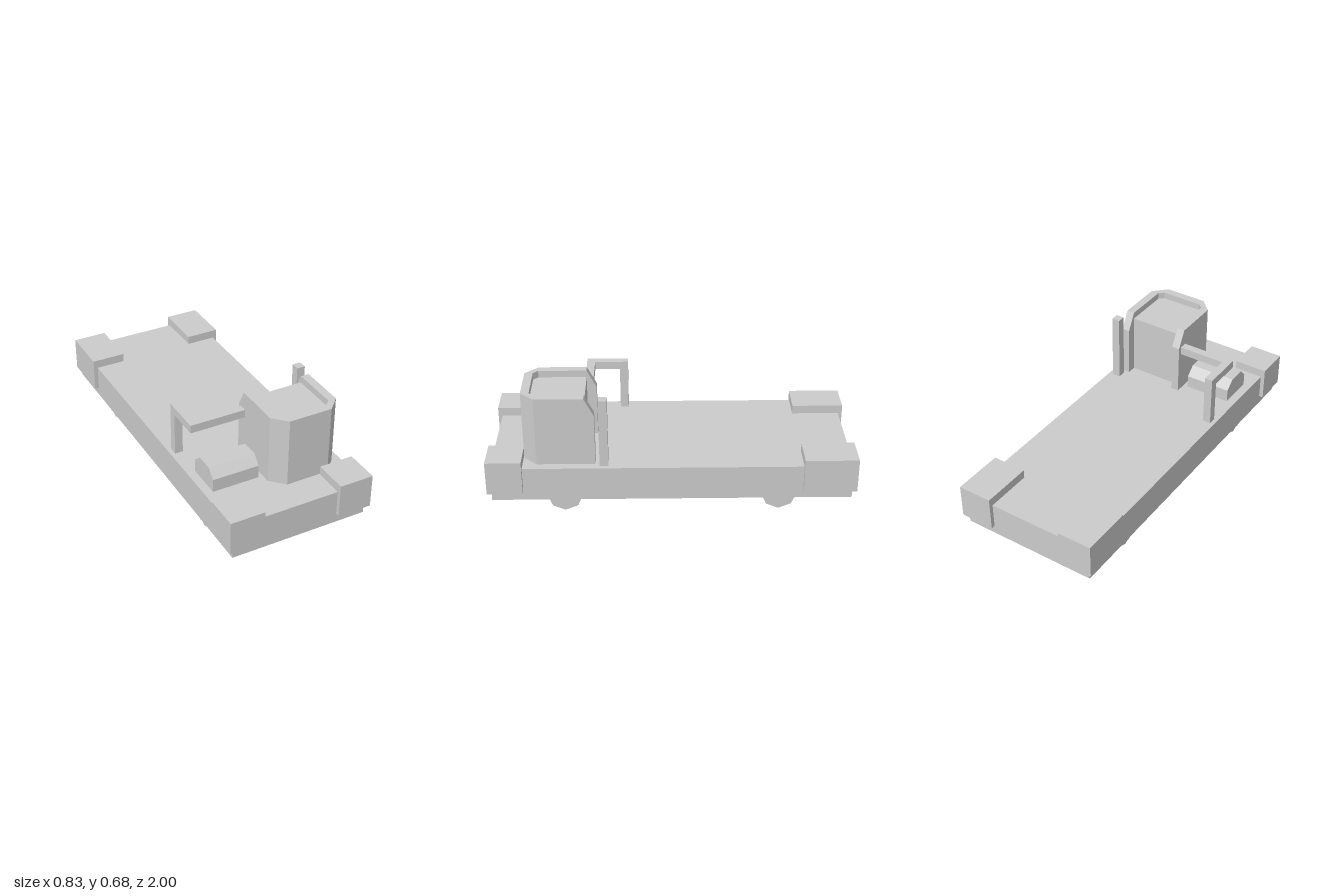
import * as THREE from 'three';

const material = new THREE.MeshStandardMaterial({ color: 0xcccccc });

function addMesh(parent, name, geometry) {
  const mesh = new THREE.Mesh(geometry, material);
  mesh.name = name;
  parent.add(mesh);
  return mesh;
}

// Box given by its limits on each axis
function addBox(parent, name, [x0, x1], [y0, y1], [z0, z1]) {
  const geometry = new THREE.BoxGeometry(x1 - x0, y1 - y0, z1 - z0);
  geometry.translate((x0 + x1) / 2, (y0 + y1) / 2, (z0 + z1) / 2);
  return addMesh(parent, name, geometry);
}

function extrude(points, depth) {
  const shape = new THREE.Shape(points.map(([a, b]) => new THREE.Vector2(a, b)));
  return new THREE.ExtrudeGeometry(shape, { depth, bevelEnabled: false });
}

// Side profile of [z, y] points, extruded from x0 to x1
function addSideProfile(parent, name, points, x0, x1) {
  const geometry = extrude(points, x1 - x0).rotateY(-Math.PI / 2).translate(x1, 0, 0);
  return addMesh(parent, name, geometry);
}

// Floor plan of [x, z] points, extruded from y0 to y1
function addPlan(parent, name, points, y0, y1) {
  const geometry = extrude(points, y1 - y0).rotateX(Math.PI / 2).translate(0, y1, 0);
  return addMesh(parent, name, geometry);
}

function addWheel(parent, side, z) {
  const wheel = new THREE.Group();
  wheel.name = 'wheel';
  const addDisc = (name, radius, x0, x1) => {
    const geometry = new THREE.CylinderGeometry(radius, radius, x1 - x0, 8);
    geometry.rotateZ(Math.PI / 2).translate(side * (x0 + x1) / 2, 0.1, z);
    addMesh(wheel, name, geometry);
  };
  addDisc('tyre', 0.098, 0.293, 0.342);
  addDisc('hub', 0.05, 0.28, 0.365);
  parent.add(wheel);
}

export function createModel() {
  const model = new THREE.Group();
  model.name = 'flatbedCart';
  const deckTop = 0.293;

  // Deck and tapered undercarriage
  addBox(model, 'deck', [-0.39, 0.39], [0.1, deckTop], [-0.977, 0.977]);
  addSideProfile(model, 'undercarriage',
    [[0.78, 0.1], [0.73, 0.052], [-0.73, 0.052], [-0.78, 0.1]], -0.293, 0.293);

  // Corner bumpers and wheels, mirrored left and right
  for (const side of [-1, 1]) {
    const x = side > 0 ? [0.22, 0.414] : [-0.414, -0.22];
    addBox(model, 'frontBumper', x, [0.15, 0.342], [0.806, 1]);
    addBox(model, 'rearBumper', x, [0.15, 0.342], [-1, -0.71]);
    for (const z of [0.585, -0.585]) addWheel(model, side, z);
  }

  // Control console: a raised shell with a block inside it
  const console = new THREE.Group();
  console.name = 'console';
  model.add(console);
  const back = 0.465, top = 0.684;
  const inner = [[-0.003, back], [-0.003, 0.73], [0.025, 0.757],
    [0.267, 0.757], [0.295, 0.73], [0.295, back]];
  const outer = [[0.341, back], [0.341, 0.73], [0.268, 0.803],
    [0.024, 0.803], [-0.049, 0.73], [-0.049, back]];
  addPlan(console, 'consoleShell', [...inner, ...outer], deckTop, top);
  addPlan(console, 'consoleBlock', inner, deckTop, 0.645);
  for (const [x0, x1] of [[-0.049, -0.003], [0.295, 0.341]]) {
    addSideProfile(console, 'consoleWing',
      [[0.413, deckTop], [0.413, 0.585], [back, top], [back, deckTop]], x0, x1);
  }

  // Post beside the console
  addBox(model, 'post', [0.318, 0.365], [deckTop, top], [0.343, 0.39]);

  // Bent handrail
  const rail = new THREE.Group();
  rail.name = 'handrail';
  model.add(rail);
  addBox(rail, 'railPost', [-0.366, -0.32], [deckTop, 0.54], [0.245, 0.292]);
  addBox(rail, 'railSide', [-0.366, -0.32], [0.54, 0.586], [0.245, 0.48]);
  addBox(rail, 'railCross', [-0.32, -0.049], [0.54, 0.586], [0.434, 0.48]);

  // Bevelled seat
  addSideProfile(model, 'seat', [[0.48, deckTop], [0.48, 0.367], [0.533, 0.415],
    [0.633, 0.415], [0.68, 0.367], [0.68, deckTop]], -0.342, -0.076);

  return model;
}
